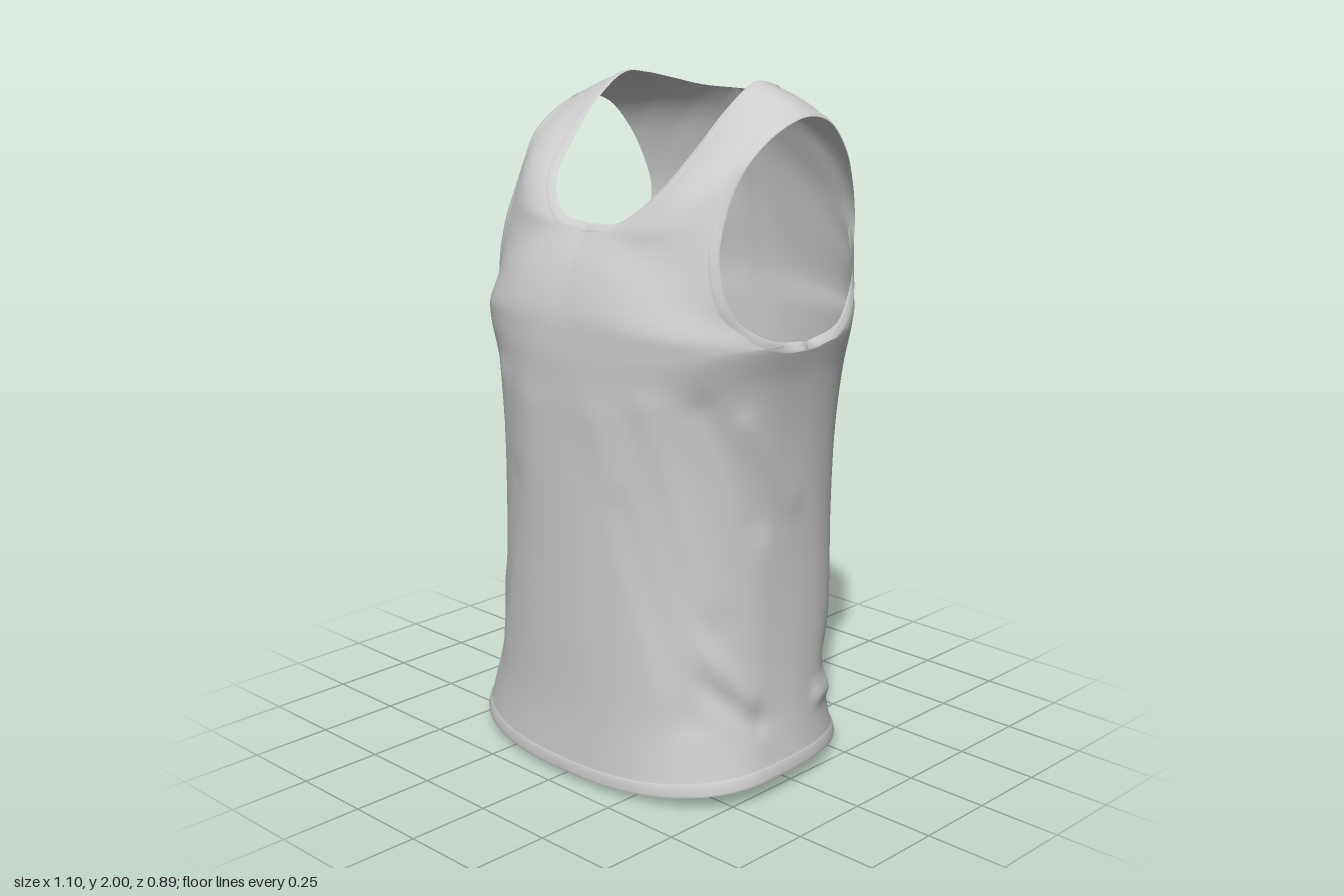
import * as THREE from 'three';
import { mergeGeometries, mergeVertices } from 'three/addons/utils/BufferGeometryUtils.js';

const V = (x, y, z) => new THREE.Vector3(x, y, z);
const U = 40;            // columns from centre line (or neck) to side (or armhole)
const K = 8;             // steps between two cross-sections
const W = U + 1;

// Lower body rings: front y, back y, side y, half width, side z, front z, back z, front and back roundness
const rings = [
  [0.02, 0.003, 0.06, 0.54, 0.13, 0.45, -0.445, 0.82, 0.8],
  [0.1, 0.09, 0.13, 0.523, 0.11, 0.443, -0.41, 0.82, 0.78],
  [0.22, 0.22, 0.24, 0.502, 0.09, 0.437, -0.38, 0.84, 0.74],
  [0.45, 0.45, 0.46, 0.479, 0.07, 0.437, -0.41, 0.87, 0.7],
  [0.75, 0.75, 0.75, 0.465, 0.05, 0.437, -0.42, 0.9, 0.7],
  [1, 1, 1, 0.472, 0.03, 0.437, -0.42, 0.89, 0.7],
  [1.18, 1.18, 1.2, 0.497, 0.01, 0.438, -0.42, 0.83, 0.7],
  [1.295, 1.295, 1.32, 0.53, 0, 0.436, -0.42, 0.78, 0.72],
];
// Yoke sections, front chest over the shoulder to the back: neck side, middle, armhole side
const yoke = [
  [V(0, 1.395, 0.421), V(0.35, 1.36, 0.37), V(0.512, 1.343, 0.14)],
  [V(0, 1.51, 0.38), V(0.27, 1.47, 0.365), V(0.465, 1.42, 0.235)],
  [V(0, 1.62, 0.311), V(0.225, 1.575, 0.33), V(0.43, 1.56, 0.247)],
  [V(0.11, 1.634, 0.304), V(0.275, 1.64, 0.303), V(0.418, 1.67, 0.21)],
  [V(0.2, 1.715, 0.25), V(0.315, 1.73, 0.245), V(0.42, 1.75, 0.17)],
  [V(0.235, 1.82, 0.148), V(0.335, 1.825, 0.15), V(0.432, 1.82, 0.12)],
  [V(0.25, 1.93, 0.03), V(0.348, 1.91, 0.035), V(0.44, 1.885, 0.02)],
  [V(0.25, 1.995, -0.08), V(0.35, 1.962, -0.08), V(0.445, 1.915, -0.09)],
  [V(0.235, 1.99, -0.15), V(0.342, 1.95, -0.175), V(0.44, 1.89, -0.19)],
  [V(0.2, 1.972, -0.22), V(0.33, 1.9, -0.265), V(0.43, 1.8, -0.275)],
  [V(0.12, 1.953, -0.27), V(0.285, 1.83, -0.325), V(0.415, 1.7, -0.325)],
  [V(0, 1.95, -0.285), V(0.24, 1.77, -0.352), V(0.405, 1.61, -0.35)],
  [V(0, 1.81, -0.34), V(0.25, 1.67, -0.379), V(0.41, 1.54, -0.342)],
  [V(0, 1.63, -0.385), V(0.29, 1.53, -0.392), V(0.435, 1.45, -0.305)],
  [V(0, 1.41, -0.417), V(0.36, 1.37, -0.375), V(0.505, 1.345, -0.16)],
];
// Row numbers of the landmarks on the half sheet
const lastRow = 2 * rings.length + yoke.length - 1;
const underarm = [rings.length - 1, lastRow - rings.length + 1];
const neck = [rings.length + 2, rings.length + 11];

// Soft cloth folds: start, end, width, height (negative is a valley)
const folds = [
  [V(0.3, 1.15, 0.4), V(0.43, 0.6, 0.28), 0.05, 0.01],
  [V(0.41, 1.15, 0.28), V(0.46, 0.8, 0.12), 0.05, -0.012],
  [V(0.15, 1.1, 0.44), V(0.36, 0.35, 0.37), 0.07, 0.007],
  [V(0.22, 0.85, 0.42), V(0.4, 0.25, 0.32), 0.05, -0.008],
  [V(0.46, 1.1, 0.16), V(0.47, 0.85, -0.02), 0.04, 0.008],
  [V(0.43, 0.5, 0.32), V(0.48, 0.3, 0.17), 0.04, 0.012],
  [V(0.44, 0.36, 0.3), V(0.49, 0.22, 0.14), 0.035, -0.012],
  [V(0.47, 0.22, -0.14), V(0.4, 0.2, -0.33), 0.03, 0.016],
  [V(0.44, 0.3, -0.26), V(0.38, 0.32, -0.34), 0.05, -0.012],
  [V(0.25, 0.17, -0.38), V(0, 0.21, -0.38), 0.035, 0.01],
];

// Rounded-box quarter ring, front or back
function ringPoint([yf, yb, ys, a, zs, zf, zb, ef, eb], back, u) {
  const s = Math.sin(u * Math.PI / 2), c = u === 1 ? 0 : Math.cos(u * Math.PI / 2);
  const y = THREE.MathUtils.lerp(back ? yb : yf, ys, s * s), e = back ? eb : ef;
  return V(a * Math.pow(s, e), y, zs + ((back ? zb : zf) - zs) * Math.pow(c, e));
}

// Parabola through the three points of a yoke section
function yokePoint([p, q, r], u) {
  return V(0, 0, 0)
    .addScaledVector(p, (1 - u) * (1 - 2 * u))
    .addScaledVector(q, 4 * u * (1 - u))
    .addScaledVector(r, u * (2 * u - 1));
}

// Smooth curve through the points, with corners at the given rows
function curveWithCorners(pts, corners) {
  const stops = [0, ...corners, lastRow];
  const curves = stops.slice(1).map((b, k) => new THREE.CatmullRomCurve3(pts.slice(stops[k], b + 1)));
  return (row) => {
    const k = curves.findIndex((_, m) => row <= stops[m + 1]);
    return curves[k].getPoint((row - stops[k]) / (stops[k + 1] - stops[k]));
  };
}

function addFolds(p) {
  const out = V(p.x, 0, p.z).normalize(), near = V(0, 0, 0);
  let h = 0;
  for (const [a, b, w, amp] of folds) {
    new THREE.Line3(a, b).closestPointToPoint(p, true, near);
    h += amp * Math.exp(-near.distanceToSquared(p) / (w * w));
  }
  return p.addScaledVector(out, h);
}

// Left half as a grid running from front hem over the shoulder to back hem
function halfGrid() {
  const rows = lastRow * K + 1;
  const grid = Array.from({ length: rows }, () => []);
  for (let j = 0; j <= U; j++) {
    const u = j / U;
    const pts = [
      ...rings.map((r) => ringPoint(r, false, u)),
      ...yoke.map((r) => yokePoint(r, u)),
      ...rings.map((r) => ringPoint(r, true, u)).reverse(),
    ];
    const smooth = curveWithCorners(pts, []);
    const cornered = curveWithCorners(pts, u < 0.5 ? neck : underarm);
    for (let i = 0; i < rows; i++) {
      grid[i][j] = addFolds(smooth(i / K).lerp(cornered(i / K), Math.abs(2 * u - 1)));
    }
  }
  // Close the side seam below the armhole
  for (let i = 0; i <= underarm[0] * K; i++) grid[rows - 1 - i][U] = grid[i][U].clone();
  return grid;
}

function sheet(grid, side) {
  const w = grid[0].length, pos = [], idx = [];
  for (const row of grid) for (const p of row) pos.push(p.x * side, p.y, p.z);
  for (let i = 0; i < grid.length - 1; i++) {
    for (let j = 0; j < w - 1; j++) {
      const a = i * w + j, b = a + 1, c = a + w, d = c + 1;
      if (side > 0) idx.push(a, b, c, b, d, c);
      else idx.push(a, c, b, b, c, d);
    }
  }
  const g = new THREE.BufferGeometry();
  g.setAttribute('position', new THREE.Float32BufferAttribute(pos, 3));
  g.setIndex(idx);
  g.computeVertexNormals();
  return g;
}

// Long hollow down the back, right of the spine
function hollowBack(p) {
  const { smoothstep } = THREE.MathUtils;
  for (let i = 0; i < p.count; i++) {
    const x = p.getX(i) + 0.17, y = p.getY(i), z = p.getZ(i);
    const across = Math.exp(-((x / (x > 0 ? 0.14 : 0.2)) ** 2));
    const along = (0.02 + 0.025 * smoothstep(y, 0.05, 0.5)) * (1 - smoothstep(y, 1.5, 1.9));
    p.setZ(i, z + across * along * smoothstep(-z, 0.1, 0.3));
  }
}

// Both halves joined with smooth normals across the centre
function mirrored(grid) {
  const g = mergeGeometries([sheet(grid, 1), sheet(grid, -1)]);
  g.deleteAttribute('normal');
  const m = mergeVertices(g, 1e-5);
  hollowBack(m.getAttribute('position'));
  m.computeVertexNormals();
  return m;
}

export function createModel() {
  const group = new THREE.Group();
  const cloth = new THREE.MeshStandardMaterial({ color: 0xcccccc, side: THREE.DoubleSide });
  cloth.name = 'light grey cloth';
  const add = (geometry, name) => {
    const mesh = new THREE.Mesh(geometry, cloth);
    mesh.name = name;
    group.add(mesh);
  };

  const grid = halfGrid(), rows = grid.length;
  add(mirrored(grid), 'shirtBody');

  // Slightly raised band following an edge of the cloth
  const normals = sheet(grid, 1).getAttribute('normal');
  const band = (cells, sign, width, name) => {
    const strip = cells.map(([i, j], k) => {
      const [pi, pj] = cells[Math.max(0, k - 1)], [ni, nj] = cells[Math.min(cells.length - 1, k + 1)];
      const t = grid[ni][nj].clone().sub(grid[pi][pj]).normalize();
      const n = V(0, 0, 0).fromBufferAttribute(normals, i * W + j);
      const d = t.cross(n).normalize().multiplyScalar(sign * width);
      const e = grid[i][j];
      if (Math.abs(e.x) < 1e-6) d.x = n.x = 0;   // meet squarely at the centre
      if (Math.abs(e.z) < 1e-6) d.z = n.z = 0;   // and at the underarm
      const at = (s, h) => e.clone().addScaledVector(d, s).addScaledVector(n, h);
      return [at(0, 0), at(0.2, 0.003), at(0.8, 0.003), at(1, 0)];
    });
    add(mirrored(strip), name);
  };
  const edge = ([from, to], j) => Array.from({ length: (to - from) * K + 1 }, (_, k) => [from * K + k, j]);
  const across = (i) => Array.from({ length: W }, (_, j) => [i, j]);
  band(edge(neck, 0), 1, 0.03, 'neckBinding');
  band(edge(underarm, U), -1, 0.03, 'armholeBinding');
  band(across(0), -1, 0.04, 'frontHem');
  band(across(rows - 1), 1, 0.04, 'backHem');
  return group;
}
